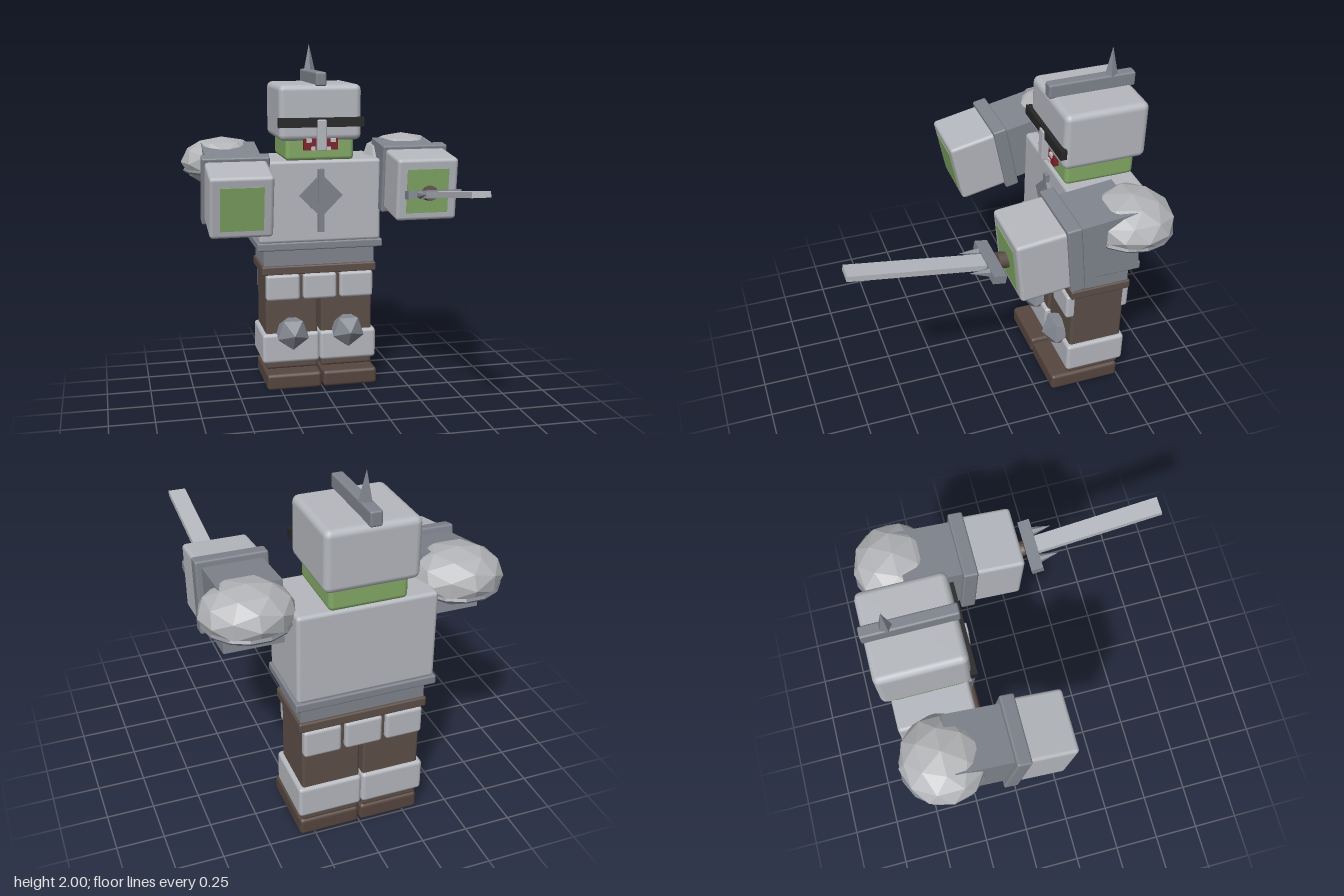
import * as THREE from 'three';
import { RoundedBoxGeometry } from 'three/addons/geometries/RoundedBoxGeometry.js';

const mat = (name, color, flatShading = false) => {
  const m = new THREE.MeshStandardMaterial({ color, flatShading });
  m.name = name;
  return m;
};

export function createModel() {
  const steel = mat('light steel', 0xb5b8be);
  const facet = mat('faceted steel', 0xb3b4b7, true);
  const iron = mat('dark iron', 0x80848d, true);
  const leather = mat('brown leather', 0x5c4e47);
  const boot = mat('boot brown', 0x56463f);
  const skin = mat('green skin', 0x83aa66);
  const red = mat('mouth red', 0x7d222c);
  const black = mat('visor black', 0x262626);
  const bone = mat('tooth', 0xc9c4c4);

  const model = new THREE.Group();
  model.name = 'armouredGuard';

  const add = (parent, name, geo, material, x = 0, y = 0, z = 0) => {
    const m = new THREE.Mesh(geo, material);
    m.name = name;
    m.position.set(x, y, z);
    parent.add(m);
    return m;
  };
  // Box from its limits; r > 0 rounds the edges
  const box = (parent, name, material, [x0, x1], [y0, y1], [z0, z1], r = 0) => {
    const s = [x1 - x0, y1 - y0, z1 - z0];
    const geo = r ? new RoundedBoxGeometry(...s, 2, Math.min(r, Math.min(...s) * 0.45))
      : new THREE.BoxGeometry(...s);
    return add(parent, name, geo, material, (x0 + x1) / 2, (y0 + y1) / 2, (z0 + z1) / 2);
  };

  // Legs, mirrored about the middle
  const legs = new THREE.Group();
  legs.name = 'legs';
  model.add(legs);
  for (const s of [-1, 1]) {
    const span = (a, b) => (s > 0 ? [a, b] : [-b, -a]);
    box(legs, 'boot', boot, span(0.005, 0.33), [0, 0.098], [-0.745, -0.335], 0.02);
    box(legs, 'leg', leather, span(0.01, 0.32), [0.1, 0.68], [-0.747, -0.435], 0.015);
    box(legs, 'shinGuard', steel, span(0.002, 0.343), [0.14, 0.32], [-0.765, -0.415], 0.02);
    const knee = new THREE.IcosahedronGeometry(0.107).rotateX(0.5536);
    add(legs, 'kneeStud', knee, iron, s * 0.167, 0.325, -0.43);
  }

  // Hip plates at front and back
  for (const x of [-0.22, 0, 0.22]) {
    for (const z of [[-0.46, -0.4], [-0.775, -0.72]]) {
      box(model, 'hipPlate', steel, [x - 0.1, x + 0.1], [0.525, 0.68], z, 0.018);
    }
  }

  // Waist and chest
  box(model, 'belt', leather, [-0.342, 0.342], [0.675, 0.73], [-0.765, -0.415], 0.01);
  box(model, 'waist', iron, [-0.33, 0.33], [0.725, 0.84], [-0.75, -0.43]);
  box(model, 'chestRim', iron, [-0.37, 0.37], [0.828, 0.875], [-0.798, -0.385], 0.008);
  box(model, 'chest', steel, [-0.36, 0.36], [0.87, 1.35], [-0.79, -0.39], 0.02);
  box(model, 'chestBar', iron, [-0.018, 0.018], [0.935, 1.3], [-0.4, -0.366]);
  const diamond = add(model, 'chestDiamond', new THREE.BoxGeometry(0.18, 0.18, 0.03), iron, 0, 1.147, -0.384);
  diamond.rotation.z = Math.PI / 4;

  // Head, mouth and helmet
  const head = new THREE.Group();
  head.name = 'head';
  model.add(head);
  box(head, 'face', skin, [-0.2, 0.2], [1.345, 1.6], [-0.785, -0.4], 0.025);
  box(head, 'mouth', red, [-0.1, 0.1], [1.41, 1.475], [-0.41, -0.372]);
  for (const s of [-1, 1]) {
    add(head, 'upperTooth', new THREE.BoxGeometry(0.03, 0.022, 0.012), bone, s * 0.07, 1.465, -0.37);
    add(head, 'lowerTooth', new THREE.BoxGeometry(0.024, 0.02, 0.012), bone, s * 0.045, 1.42, -0.37);
  }
  box(head, 'helmet', steel, [-0.24, 0.24], [1.462, 1.78], [-0.828, -0.37], 0.035);
  box(head, 'visor', black, [-0.248, 0.248], [1.542, 1.595], [-0.38, -0.345]);
  box(head, 'noseGuard', steel, [-0.027, 0.027], [1.41, 1.585], [-0.375, -0.335], 0.006);
  box(head, 'crest', iron, [-0.031, 0.031], [1.772, 1.85], [-0.837, -0.36], 0.01);
  add(head, 'crestSpike', new THREE.ConeGeometry(0.036, 0.16, 5), iron, 0, 1.92, -0.71);

  // Arms reach forward from the shoulder; each dips by its own angle
  for (const [s, dip, label] of [[1, 0.105, 'left'], [-1, 0.21, 'right']]) {
    const arm = new THREE.Group();
    arm.name = label + 'Arm';
    arm.position.set(s * 0.51, 1.29, -0.6);
    arm.rotation.x = dip;
    model.add(arm);
    box(arm, 'upperArm', iron, [-0.155, 0.155], [-0.165, 0.16], [0, 0.33]);
    box(arm, 'cuff', iron, [-0.187, 0.187], [-0.193, 0.193], [0.3, 0.378], 0.01);
    box(arm, 'gauntlet', steel, [-0.172, 0.172], [-0.173, 0.173], [0.36, 0.633], 0.02);
    box(arm, 'fistOpening', skin, [-0.118, 0.118], [-0.128, 0.117], [0.629, 0.637]);

    // Shoulder dome with a thin rim around its lower half
    const dome = new THREE.IcosahedronGeometry(1, 1).scale(0.238, 0.142, 0.223);
    add(model, 'shoulderDome', dome, facet, s * 0.54, 1.334, -0.607);
    const rim = new THREE.TorusGeometry(0.213, 0.013, 5, 14).rotateX(Math.PI / 2);
    add(model, 'shoulderRim', rim, iron, s * 0.54, 1.287, -0.607);
  }

  // Sword held in the left fist, its blade tilted up
  const sword = new THREE.Group();
  sword.name = 'sword';
  sword.position.set(0.513, 1.215, 0.12);
  sword.rotation.x = -0.155;
  model.add(sword);
  const grip = new THREE.CylinderGeometry(0.041, 0.041, 0.13, 10).rotateX(Math.PI / 2);
  add(sword, 'grip', grip, leather, 0, 0.005, -0.1);
  box(sword, 'crossGuard', iron, [-0.15, 0.15], [-0.022, 0.022], [-0.033, 0.033]);
  box(sword, 'blade', steel, [-0.048, 0.048], [-0.015, 0.015], [0.03, 0.725]);
  for (const s of [-1, 1]) {
    const spike = new THREE.ConeGeometry(0.024, 0.105, 6).rotateX(Math.PI / 2);
    add(sword, 'guardSpike', spike, iron, s * 0.083, 0, 0.082);
  }
  return model;
}
